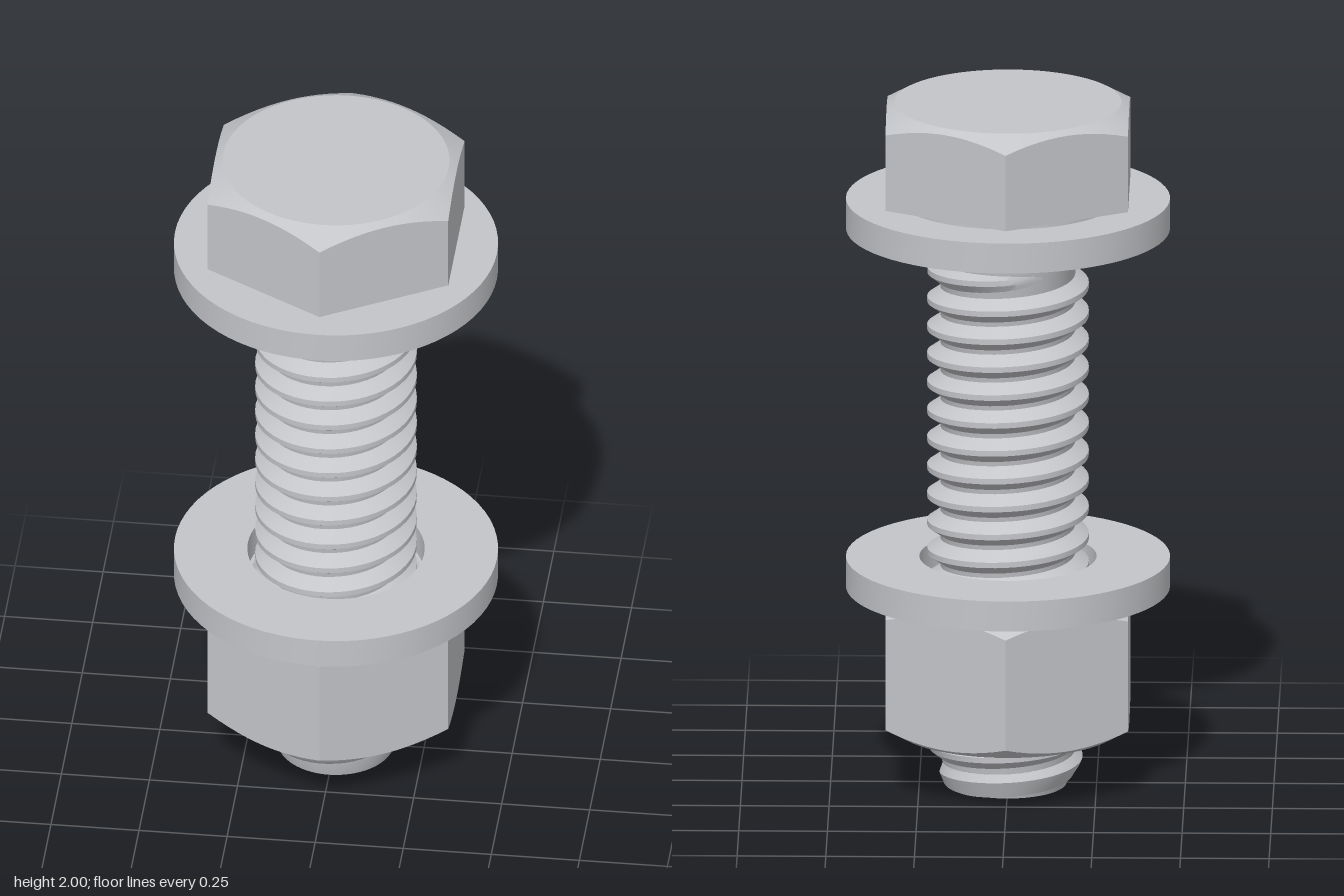
import * as THREE from 'three';
import { toCreasedNormals } from 'three/addons/utils/BufferGeometryUtils.js';

const SEG = 72;
const TAU = Math.PI * 2;

// Surface from rows of points given as [radius, angle, height]; rows run bottom to top on the outside
function grid(rows, cols, at) {
  const pos = [], index = [];
  for (let i = 0; i < rows; i++) {
    for (let j = 0; j <= cols; j++) {
      const [r, a, y] = at(i, j);
      pos.push(r * Math.sin(a), y, r * Math.cos(a));
    }
  }
  const w = cols + 1;
  for (let i = 0; i < rows - 1; i++) {
    for (let j = 0; j < cols; j++) {
      const a = i * w + j, b = a + w;
      index.push(a, a + 1, b + 1, a, b + 1, b);
    }
  }
  const g = new THREE.BufferGeometry();
  g.setAttribute('position', new THREE.Float32BufferAttribute(pos, 3));
  g.setIndex(index);
  return toCreasedNormals(g, 0.45);
}

// Round part turned from a [radius, height] profile
const turned = (profile) =>
  grid(profile.length, SEG, (i, j) => [profile[i][0], (j / SEG) * TAU, profile[i][1]]);

// Hexagon with corners on the z axis
const FLAT = 0.342, FACE = 0.32;
function hexRadius(a) {
  const k = ((a % (Math.PI / 3)) + Math.PI / 3) % (Math.PI / 3);
  return FLAT / Math.cos(k - Math.PI / 6);
}

// Hexagonal part: each ring is a function of hexagon radius giving [radius, height]
const hexPart = (rings) =>
  grid(rings.length, SEG, (i, j) => {
    const a = (j / SEG) * TAU;
    const [r, y] = rings[i](hexRadius(a));
    return [r, a, y];
  });

// Helical ridge, trimmed by the chamfer at the tip and fading out at the shank
function threadGeometry() {
  const pitch = 0.082, perTurn = 48, start = Math.PI / 2;
  const turns = 18.4, steps = Math.round(turns * perTurn);
  const profile = [[0.184, -0.039], [0.228, -0.008], [0.228, 0.008], [0.184, 0.039]];
  return grid(profile.length, steps, (i, j) => {
    const a = start + (j / perTurn) * TAU;
    const [r, dy] = profile[i];
    const y = Math.max(0.002, 0.0075 + (pitch * a) / TAU + dy);
    const fade = Math.min(1, j, (steps - j) / (perTurn * 0.4));
    const height = Math.min(r, 0.18 + 0.4 * y);
    const root = Math.min(0.184, 0.16 + 0.3 * y);
    return [root + Math.max(0, height - root) * fade, a, y];
  });
}

export function createModel() {
  const group = new THREE.Group();
  const steel = new THREE.MeshStandardMaterial({ color: 0xc4c5c9 });
  steel.name = 'steel';
  const add = (name, geometry, y = 0) => {
    const mesh = new THREE.Mesh(geometry, steel);
    mesh.name = name;
    mesh.position.y = y;
    group.add(mesh);
  };
  const slope = Math.tan(Math.PI / 6);

  // Bolt head with conical chamfer on top
  add('boltHead', hexPart([
    () => [0, 1.735],
    (R) => [R, 1.735],
    (R) => [R, 2 - slope * (R - FACE)],
    () => [FACE, 2],
    () => [0, 2],
  ]));
  add('headBearingFace', turned([[0, 1.717], [0.315, 1.717], [0.315, 1.737]]));

  // Shank with tapered tip, and its thread
  add('shank', turned([
    [0, 0], [0.165, 0], [0.19, 0.08], [0.19, 1.53], [0.205, 1.57], [0.205, 1.73],
  ]));
  add('thread', threadGeometry());

  // Two matching washers
  const washer = turned([
    [0.25, 0], [0.457, 0], [0.457, 0.088], [0.25, 0.088], [0.25, 0],
  ]);
  add('upperWasher', washer, 1.629);
  add('lowerWasher', washer, 0.577);

  // Nut chamfered on both ends, with a countersunk bore
  const low = 0.165, high = 0.575;
  add('nut', hexPart([
    () => [0.215, low + 0.03],
    () => [0.24, low],
    () => [FACE, low],
    (R) => [R, low + slope * (R - FACE)],
    (R) => [R, high - slope * (R - FACE)],
    () => [FACE, high],
    () => [0.24, high],
    () => [0.215, high - 0.03],
    () => [0.215, low + 0.03],
  ]));

  return group;
}
